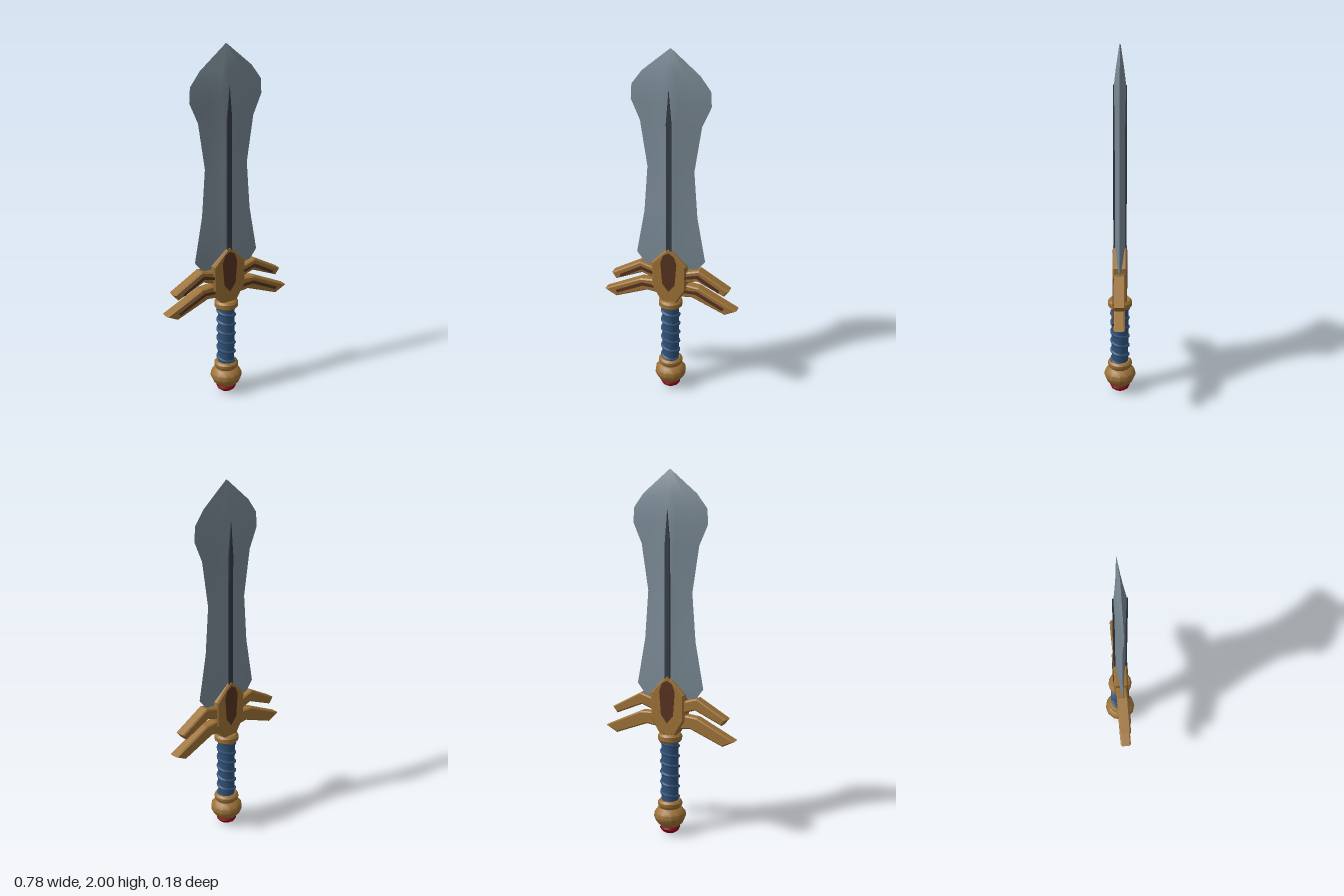
import * as THREE from 'three';
import { toCreasedNormals } from 'three/addons/utils/BufferGeometryUtils.js';

const mat = (name, color) => {
  const m = new THREE.MeshStandardMaterial({ color });
  m.name = name;
  return m;
};

export function createModel() {
  const group = new THREE.Group();
  group.name = 'sword';
  const steel = mat('steel', 0x7a8a95);
  const darkSteel = mat('dark steel', 0x343a46);
  const gold = mat('gold', 0x9c7136);
  const brown = mat('brown inlay', 0x56321f);
  const blue = mat('blue grip', 0x30527a);
  const red = mat('red gem', 0x920019);

  const add = (name, geometry, material) => {
    const mesh = new THREE.Mesh(geometry, material);
    mesh.name = name;
    group.add(mesh);
    return mesh;
  };

  // Bevelled plate from an outline, spanning z0..z1; side -1 mirrors it in x
  const plate = (points, z0, z1, bevel = 0, side = 1) => {
    const pts = points.map(([x, y]) => new THREE.Vector2(x * side, y));
    const geo = new THREE.ExtrudeGeometry(new THREE.Shape(pts), {
      depth: z1 - z0 - 2 * bevel, bevelEnabled: bevel > 0,
      bevelThickness: bevel, bevelSize: bevel, bevelOffset: -bevel, bevelSegments: 1,
    });
    return geo.translate(0, 0, z0 + bevel);
  };
  // Full outline from its right half, listed bottom to top
  const mirrored = (half) => [
    ...half,
    ...half.filter(([x]) => x > 0).reverse().map(([x, y]) => [-x, y]),
  ];

  // Blade: one face lofted from rows of [y, half width, ridge height], used on both sides
  const rows = [
    [0.785, 0.155, 0], [0.79, 0.155, 0.03], [0.845, 0.197, 0.03], [1.1, 0.15, 0.031],
    [1.36, 0.13, 0.031], [1.61, 0.168, 0.031], [1.72, 0.217, 0.031], [1.80, 0.212, 0.03],
    [1.875, 0.155, 0.021], [1.99, 0.014, 0.004], [2.0, 0.001, 0],
  ];
  const section = [[-1, 0], [-0.5, 0.4], [-0.2, 0.72], [0, 1], [0.2, 0.72], [0.5, 0.4], [1, 0]];
  const pos = [], index = [], n = section.length;
  rows.forEach(([y, w, t], r) => {
    section.forEach(([u, h], c) => {
      pos.push(u * w, y, h * t);
      if (r && c) {
        const d = r * n + c, b = d - n;
        index.push(b - 1, b, d, b - 1, d, d - 1);
      }
    });
  });
  let bladeGeo = new THREE.BufferGeometry();
  bladeGeo.setAttribute('position', new THREE.Float32BufferAttribute(pos, 3));
  bladeGeo.setIndex(index);
  bladeGeo = toCreasedNormals(bladeGeo, 0.7);
  add('bladeFront', bladeGeo, steel);
  add('bladeBack', bladeGeo, steel).rotation.y = Math.PI;

  // Dark central rib, standing proud on both faces
  add('rib', plate(mirrored([[0.015, 0.8], [0.014, 1.62], [0, 1.79]]), -0.036, 0.036), darkSteel);

  // Guard block with an inlay on each face
  add('guard', plate(mirrored([[0.045, 0.575], [0.1, 0.665], [0.1, 0.81], [0, 0.915]]),
    -0.039, 0.039, 0.009), gold);
  const inlay = mirrored([[0, 0.645], [0.036, 0.69], [0.046, 0.82], [0.03, 0.865], [0, 0.882]]);
  add('guardInlayFront', plate(inlay, 0.036, 0.041), brown);
  add('guardInlayBack', plate(inlay, -0.041, -0.036), brown);

  // Swept wings, with grooves on the front only
  const upperWing = [[0.06, 0.7], [0.1, 0.712], [0.16, 0.732], [0.315, 0.665], [0.342, 0.7],
    [0.17, 0.797], [0.06, 0.765]];
  const lowerWing = [[0.05, 0.615], [0.13, 0.625], [0.32, 0.55], [0.388, 0.585],
    [0.17, 0.69], [0.05, 0.7]];
  const upperGroove = [[0.09, 0.735], [0.16, 0.753], [0.285, 0.685], [0.29, 0.7],
    [0.165, 0.772], [0.09, 0.75]];
  const lowerGroove = [[0.09, 0.65], [0.155, 0.652], [0.31, 0.577], [0.318, 0.592],
    [0.16, 0.669], [0.09, 0.665]];
  for (const [side, label] of [[1, 'left'], [-1, 'right']]) {
    add(label + 'UpperWing', plate(upperWing, -0.031, 0.031, 0.007, side), gold);
    add(label + 'LowerWing', plate(lowerWing, -0.029, 0.029, 0.007, side), gold);
    add(label + 'UpperGroove', plate(upperGroove, 0.029, 0.037, 0, side), brown);
    add(label + 'LowerGroove', plate(lowerGroove, 0.027, 0.036, 0, side), brown);
  }

  // Turned parts from [radius, y] profiles
  const lathe = (name, profile, material, sides) => {
    const pts = profile.map(([r, y]) => new THREE.Vector2(r, y));
    return add(name, toCreasedNormals(new THREE.LatheGeometry(pts, sides), 0.65), material);
  };
  lathe('upperCollar', [[0.001, 0.535], [0.057, 0.535], [0.067, 0.546], [0.067, 0.57],
    [0.057, 0.582], [0.001, 0.582]], gold, 16);
  lathe('lowerCollar', [[0.05, 0.145], [0.064, 0.16], [0.069, 0.172], [0.068, 0.186],
    [0.058, 0.197], [0.001, 0.197]], gold, 16);
  lathe('pommel', [[0.001, 0.042], [0.05, 0.042], [0.077, 0.07], [0.09, 0.1],
    [0.087, 0.125], [0.07, 0.147], [0.05, 0.158], [0.001, 0.158]], gold, 12);
  lathe('gem', [[0.001, 0], [0.03, 0.005], [0.05, 0.02], [0.057, 0.033], [0.052, 0.046],
    [0.001, 0.05]], red, 12);
  add('grip', new THREE.CylinderGeometry(0.047, 0.047, 0.36, 16, 1, true).translate(0, 0.365, 0), blue);

  // Cord wound round the grip
  const turns = 6, steps = 12, coil = [];
  for (let i = 0; i <= turns * steps; i++) {
    const a = (i / steps) * Math.PI * 2;
    coil.push(new THREE.Vector3(Math.cos(a) * 0.047, 0.19 + (0.35 * i) / (turns * steps), Math.sin(a) * 0.047));
  }
  add('gripCord', new THREE.TubeGeometry(new THREE.CatmullRomCurve3(coil), 144, 0.009, 6), blue);

  return group;
}
